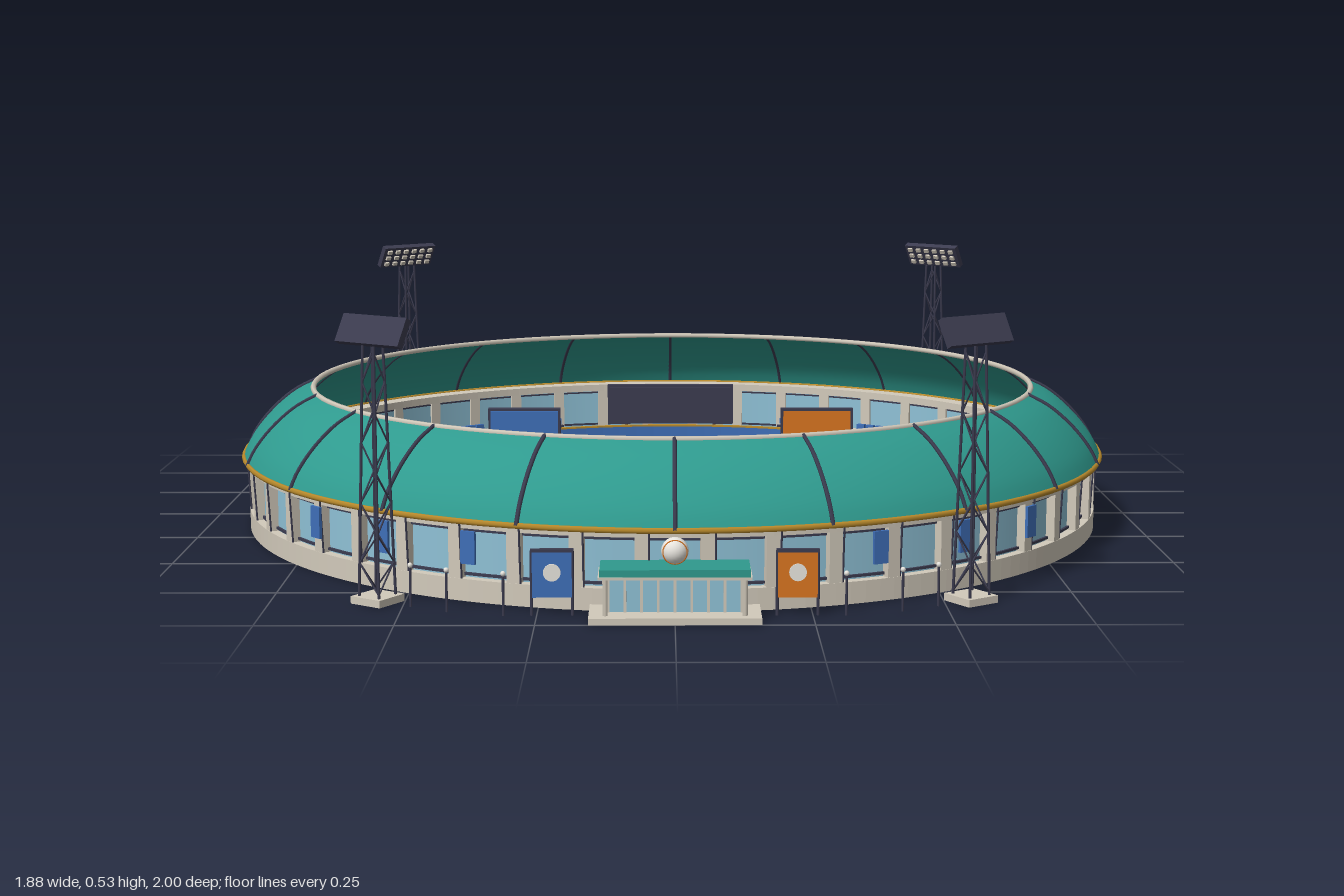
import * as THREE from 'three';

const material = (name, color, side = THREE.FrontSide) => {
  const m = new THREE.MeshStandardMaterial({ color, side });
  m.name = name;
  return m;
};
const teal = material('teal roof', 0x2f9a8e, THREE.DoubleSide);
const cream = material('cream concrete', 0xd2cabb);
const glass = material('pale blue glass', 0x8fc1d6, THREE.DoubleSide);
const navy = material('dark navy steel', 0x3c3c50);
const grass = material('grass green', 0x70a85c);
const dirt = material('clay brown', 0xae7656);
const blue = material('blue', 0x3f6fb8);
const orange = material('orange', 0xd87420);
const gold = material('gold trim', 0xb98a2c);
const white = material('white', 0xf2efe8);

function add(parent, name, geometry, mat, x = 0, y = 0, z = 0) {
  const mesh = new THREE.Mesh(geometry, mat);
  mesh.name = name;
  mesh.position.set(x, y, z);
  parent.add(mesh);
  return mesh;
}
function subgroup(parent, name, x = 0, y = 0, z = 0, turn = 0) {
  const g = new THREE.Group();
  g.name = name;
  g.position.set(x, y, z);
  g.rotation.y = turn;
  parent.add(g);
  return g;
}
const box = (parent, name, mat, w, h, d, x, y, z) =>
  add(parent, name, new THREE.BoxGeometry(w, h, d), mat, x, y, z);

// Thin round bar between two points
function rod(parent, name, mat, a, b, r) {
  const from = new THREE.Vector3(...a), to = new THREE.Vector3(...b);
  const dir = to.clone().sub(from);
  const mesh = add(parent, name, new THREE.CylinderGeometry(r, r, dir.length(), 5), mat);
  mesh.position.copy(from).add(to).multiplyScalar(0.5);
  mesh.quaternion.setFromUnitVectors(new THREE.Vector3(0, 1, 0), dir.normalize());
}

// Arc points on the ground, angle measured from the back (-z)
function arc(cz, r, a0, a1, n = 48) {
  return Array.from({ length: n + 1 }, (_, i) => {
    const a = a0 + (a1 - a0) * i / n;
    return [r * Math.sin(a), cz - r * Math.cos(a)];
  });
}
// Flat slab from an outline of [x, z] points
function slab(parent, name, mat, points, y, h) {
  const shape = new THREE.Shape(points.map(([x, z]) => new THREE.Vector2(x, -z)));
  const g = new THREE.ExtrudeGeometry(shape, { depth: h, bevelEnabled: false });
  return add(parent, name, g.rotateX(-Math.PI / 2), mat, 0, y, 0);
}
// Square-edged ring
function ring(parent, name, mat, inner, outer, y, h) {
  const shape = new THREE.Shape().absarc(0, 0, outer, 0, Math.PI * 2);
  shape.holes.push(new THREE.Path().absarc(0, 0, inner, 0, Math.PI * 2, true));
  const g = new THREE.ExtrudeGeometry(shape, { depth: h, bevelEnabled: false, curveSegments: 96 });
  return add(parent, name, g.rotateX(-Math.PI / 2), mat, 0, y, 0);
}
function hoop(parent, name, mat, r, tube, y) {
  add(parent, name, new THREE.TorusGeometry(r, tube, 6, 96).rotateX(Math.PI / 2), mat, 0, y, 0);
}

function buildShell(root) {
  const shell = subgroup(root, 'stadium shell', 0, 0, -0.042);
  shell.scale.z = 1.0235;
  ring(shell, 'wall base', cream, 0.875, 0.925, 0, 0.042);
  ring(shell, 'wall top beam', cream, 0.885, 0.926, 0.138, 0.017);
  add(shell, 'window band', new THREE.CylinderGeometry(0.906, 0.906, 0.1, 96, 1, true), glass, 0, 0.09, 0);
  ring(shell, 'window sill', navy, 0.905, 0.911, 0.046, 0.005);
  ring(shell, 'window head', navy, 0.905, 0.911, 0.13, 0.004);
  hoop(shell, 'eave trim', gold, 0.934, 0.006, 0.153);

  // Columns between the windows
  for (let i = 0; i < 48; i++) {
    const bay = subgroup(shell, 'wall bay', 0, 0, 0, (i + 0.5) * Math.PI / 24);
    box(bay, 'column', cream, 0.026, 0.1, 0.024, 0, 0.09, 0.912);
    rod(bay, 'strut', navy, [0.014, 0.04, 0.922], [0.014, 0.15, 0.928], 0.002);
  }

  // Curved roof and its ribs
  const profile = [[0.936, 0.152], [0.92, 0.184], [0.895, 0.217], [0.865, 0.247], [0.828, 0.275], [0.785, 0.296]];
  const curve = new THREE.SplineCurve(profile.map(p => new THREE.Vector2(...p)));
  add(shell, 'roof', new THREE.LatheGeometry(curve.getPoints(14), 100), teal);
  hoop(shell, 'roof rim', cream, 0.785, 0.006, 0.295);
  const ribPath = new THREE.CatmullRomCurve3(profile.map(([r, y]) => new THREE.Vector3(0, y + 0.001, r + 0.001)));
  const rib = new THREE.TubeGeometry(ribPath, 14, 0.0045, 5);
  for (let i = 0; i < 20; i++) add(shell, 'roof rib', rib, navy).rotation.y = i * Math.PI / 10;

  // Facade banners
  for (const s of [-1, 1]) for (const deg of [24, 36, 48]) {
    const hanger = subgroup(shell, 'facade banner', 0, 0, 0, s * deg * Math.PI / 180);
    box(hanger, 'banner cloth', blue, 0.03, 0.062, 0.006, 0, 0.105, 0.936);
  }
}

function buildField(root) {
  const field = subgroup(root, 'playing field');
  const floor = [
    ...arc(-0.042, 0.885, -1.5, 1.52),
    ...arc(-0.042, 0.83, 1.6, 2.7, 20).filter(p => p[1] < 0.71),
    [0.36, 0.71], [-0.43, 0.71], [-0.83, 0.02],
  ];
  slab(field, 'concourse floor', cream, floor, 0.002, 0.012);
  slab(field, 'warning track', dirt,
    [...arc(0.01, 0.8, -1.318, 1.318), [0.2, 0.5], [0.14, 0.595], [-0.14, 0.595], [-0.2, 0.5]], 0.012, 0.006);
  slab(field, 'outfield grass', grass, [...arc(-0.006, 0.734, -1.289, 1.289), [0, 0.5]], 0.016, 0.005);
  slab(field, 'infield clay', dirt, [...arc(0.305, 0.305, -1.255, 1.255, 32), [0, 0.5]], 0.018, 0.006);
  slab(field, 'infield grass', grass, [[0, 0.135], [0.17, 0.305], [0, 0.47], [-0.17, 0.305]], 0.02, 0.007);
  add(field, 'pitching mound', new THREE.CylinderGeometry(0.022, 0.03, 0.008, 24), dirt, 0, 0.029, 0.31);
  box(field, 'pitching plate', white, 0.014, 0.003, 0.006, 0, 0.034, 0.31);
  for (const [x, z] of [[0, 0.145], [0.16, 0.305], [-0.16, 0.305], [0, 0.5]])
    box(field, 'base', white, 0.011, 0.004, 0.011, x, 0.027, z).rotation.y = Math.PI / 4;
  for (const s of [-1, 1]) box(field, 'batter line', white, 0.003, 0.003, 0.03, s * 0.022, 0.018, 0.505);

  // Outfield fence with a gold cap
  const strip = (r0, r1) => [...arc(0.01, r1, -1.31, 1.31), ...arc(0.01, r0, 1.31, -1.31)];
  slab(field, 'outfield fence', blue, strip(0.796, 0.803), 0.012, 0.056);
  slab(field, 'fence cap', gold, strip(0.794, 0.805), 0.068, 0.004);
  for (const s of [-1, 1])
    rod(field, 'foul pole', gold, [s * 0.775, 0.012, -0.19], [s * 0.775, 0.14, -0.19], 0.003);
}

function seatRow(parent, length, y, z) {
  const n = Math.round(length / 0.03), pitch = length / n;
  for (let i = 0; i < n; i++) {
    if (i % 7 === 6) continue; // aisle
    const x = (i + 0.5) * pitch - length / 2;
    box(parent, 'seat', blue, pitch * 0.8, 0.01, 0.014, x, y + 0.005, z - 0.003);
    box(parent, 'seat back', i % 3 === 1 ? navy : blue, pitch * 0.8, 0.022, 0.005, x, y + 0.011, z + 0.008);
  }
}
function buildStand(root, x, z, turn, length, rows) {
  const stand = subgroup(root, 'grandstand', x, 0.014, z, turn);
  const depth = 0.034;
  for (let i = 0; i < rows; i++) {
    const rz = (i - (rows - 1) / 2) * depth, h = 0.014 + i * 0.017;
    box(stand, 'step', cream, length, h, depth, 0, h / 2, rz);
    seatRow(stand, length, h, rz);
  }
  return stand;
}
function buildSeating(root) {
  buildStand(root, 0, 0.64, 0, 0.28, 3);
  for (const s of [-1, 1]) {
    const stand = buildStand(root, s * 0.4, 0.38, s * Math.PI / 4, 0.56, 4);
    box(stand, 'terrace', cream, 0.6, 0.01, 0.2, 0, 0.003, 0.05);
    // Dugouts
    const dugout = subgroup(root, 'dugout', s * 0.24, 0.016, 0.375, s * Math.PI / 4);
    box(dugout, 'dugout roof', navy, 0.21, 0.008, 0.065, 0, 0.044, 0);
    box(dugout, 'dugout back', cream, 0.2, 0.04, 0.008, 0, 0.02, 0.026);
    box(dugout, 'bench', blue, 0.18, 0.012, 0.014, 0, 0.01, 0.01);
    for (const e of [-1, 1]) box(dugout, 'dugout side', cream, 0.006, 0.04, 0.055, e * 0.1, 0.02, 0);
    // Curved outfield bleachers
    for (let i = 0; i < 12; i++) {
      const a = 0.36 + i * 0.062;
      const block = subgroup(root, 'bleacher block', s * 0.84 * Math.sin(a), 0.014, 0.01 - 0.84 * Math.cos(a), Math.PI - s * a);
      for (let r = 0; r < 3; r++) {
        const h = 0.03 + r * 0.014, z = (r - 1) * 0.022;
        box(block, 'bleacher step', cream, 0.05, h, 0.022, 0, h / 2, z);
        if (i % 4 === 3) continue;
        for (const e of [-1, 1]) box(block, 'bleacher seat', e * s > 0 && r === 1 ? navy : blue, 0.021, 0.014, 0.011, e * 0.013, h + 0.007, z);
      }
    }
  }
}

function buildBoard(root, name, face, w, h, x, y, z) {
  const board = subgroup(root, name, x, 0, z);
  box(board, 'board case', navy, w, h, 0.018, 0, y, 0);
  box(board, 'board face', face, w - 0.012, h - 0.012, 0.004, 0, y, 0.01);
  for (const s of [-1, 1])
    rod(board, 'board post', navy, [s * w * 0.35, 0.014, -0.004], [s * w * 0.35, y, -0.004], 0.004);
}

function buildTower(root, x, z) {
  const tower = subgroup(root, 'floodlight tower', x, 0, z, Math.atan2(-x, -z));
  box(tower, 'footing', cream, 0.07, 0.014, 0.07, 0, 0.007, 0);
  const half = y => 0.024 - 0.011 * y / 0.48;
  const corner = (k, y) => {
    const a = k * Math.PI / 2 + Math.PI / 4, r = half(y) * Math.SQRT2;
    return [r * Math.cos(a), y, r * Math.sin(a)];
  };
  for (let k = 0; k < 4; k++) {
    rod(tower, 'tower leg', navy, corner(k, 0.01), corner(k, 0.48), 0.0028);
    for (let i = 0; i < 8; i++) {
      const y = 0.02 + i * 0.056, flip = (i + k) % 2;
      rod(tower, 'tower brace', navy, corner(k + flip, y), corner(k + 1 - flip, y + 0.056), 0.0017);
    }
  }
  const panel = subgroup(tower, 'lamp panel', 0, 0.506, 0);
  panel.rotation.x = 0.5;
  box(panel, 'lamp frame', navy, 0.15, 0.056, 0.014, 0, 0, 0);
  for (let i = 0; i < 6; i++) for (let j = 0; j < 3; j++)
    box(panel, 'lamp', cream, 0.012, 0.009, 0.006, (i - 2.5) * 0.024, (j - 1) * 0.017, 0.009);
}

function buildEntrance(root) {
  const gate = subgroup(root, 'entrance');
  box(gate, 'entrance step', cream, 0.31, 0.012, 0.11, 0, 0.006, 0.945);
  box(gate, 'entrance glass', glass, 0.25, 0.07, 0.06, 0, 0.047, 0.92);
  box(gate, 'canopy', teal, 0.27, 0.013, 0.085, 0, 0.09, 0.942);
  box(gate, 'canopy edge', cream, 0.276, 0.005, 0.09, 0, 0.081, 0.942);
  for (let i = 0; i < 9; i++) box(gate, 'door frame', cream, 0.005, 0.07, 0.006, (i - 4) * 0.03, 0.047, 0.951);
  for (const s of [-1, 1]) rod(gate, 'canopy post', cream, [s * 0.125, 0.01, 0.978], [s * 0.125, 0.082, 0.978], 0.005);
  add(gate, 'ball', new THREE.SphereGeometry(0.025, 24, 16), white, 0, 0.122, 0.94);
  for (const s of [-1, 1])
    add(gate, 'ball seam', new THREE.TorusGeometry(0.0215, 0.0013, 5, 28), orange, 0, 0.122, 0.94 + s * 0.0128);

  // Free-standing banners beside the doors
  for (const s of [-1, 1]) {
    const sign = subgroup(root, 'gate banner', s * 0.222, 0, 0.927);
    box(sign, 'banner panel', s < 0 ? blue : orange, 0.072, 0.085, 0.006, 0, 0.076, 0);
    box(sign, 'banner bar', navy, 0.078, 0.006, 0.01, 0, 0.12, 0);
    for (const e of [-1, 1]) rod(sign, 'banner post', navy, [e * 0.037, 0, 0], [e * 0.037, 0.12, 0], 0.003);
    add(sign, 'ball disc', new THREE.CylinderGeometry(0.016, 0.016, 0.004, 24).rotateX(Math.PI / 2), white, 0, 0.08, 0.004);
    // Slim lamp posts along the forecourt
    for (const [x, z] of [[0.31, 0.93], [0.415, 0.9], [0.485, 0.86]]) {
      rod(root, 'lamp post', navy, [s * x, 0, z], [s * x, 0.075, z], 0.0025);
      add(root, 'lamp globe', new THREE.SphereGeometry(0.005, 8, 6), white, s * x, 0.078, z);
    }
  }
}

export function createModel() {
  const root = new THREE.Group();
  root.name = 'ballpark';
  buildShell(root);
  buildField(root);
  buildSeating(root);
  buildBoard(root, 'main scoreboard', navy, 0.32, 0.1, 0, 0.125, -0.795);
  buildBoard(root, 'blue board', blue, 0.18, 0.07, -0.365, 0.1, -0.655);
  buildBoard(root, 'orange board', orange, 0.18, 0.07, 0.365, 0.1, -0.655);
  for (const s of [-1, 1]) {
    buildTower(root, s * 0.55, 0.825);
    buildTower(root, s * 0.668, -0.795);
  }
  buildEntrance(root);
  return root;
}
